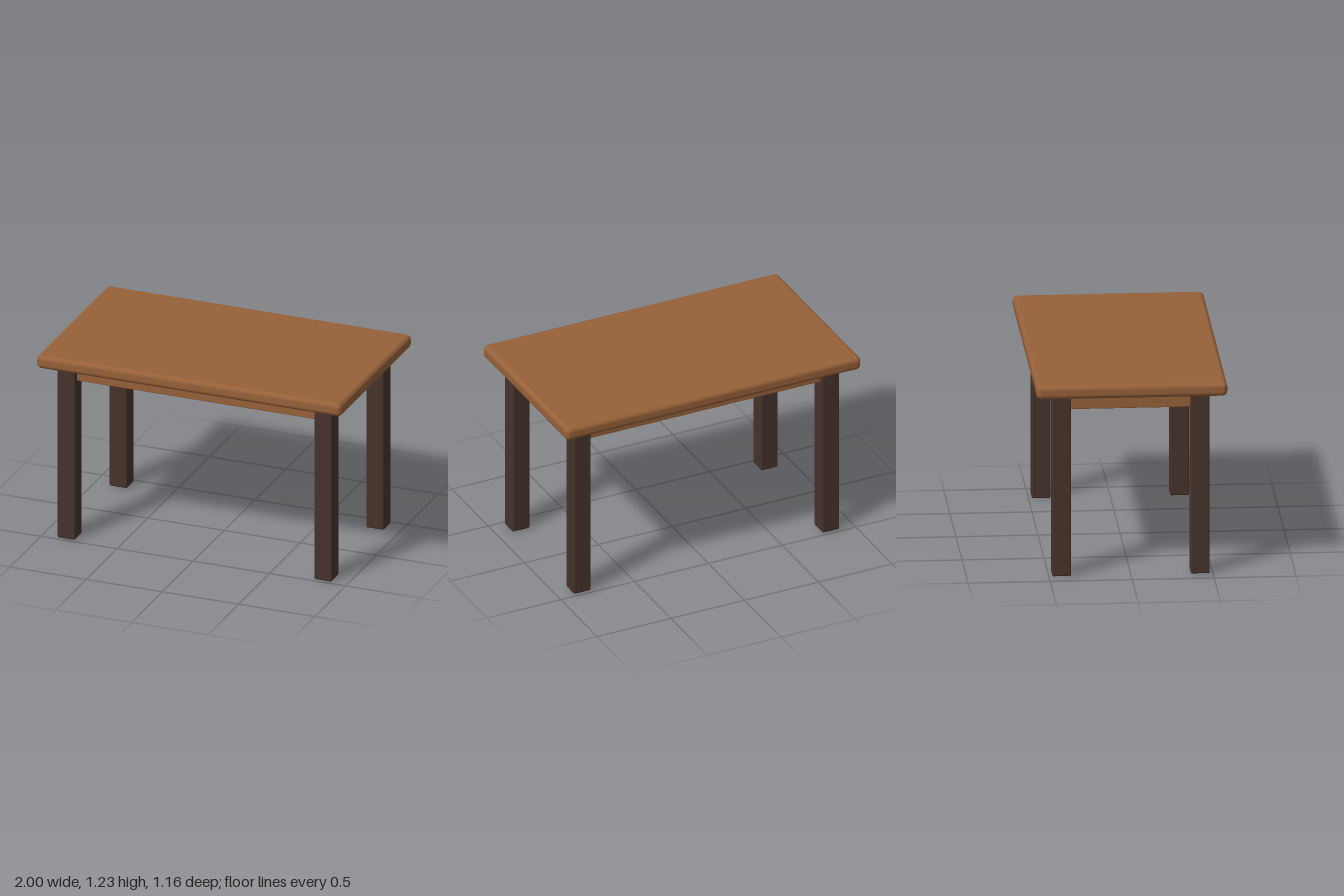
import * as THREE from 'three';
import { RoundedBoxGeometry } from 'three/addons/geometries/RoundedBoxGeometry.js';

export function createModel() {
  const table = new THREE.Group();
  table.name = 'table';

  const wood = new THREE.MeshStandardMaterial({ color: 0x966039 });
  wood.name = 'warm brown wood';
  const darkWood = new THREE.MeshStandardMaterial({ color: 0x46322b });
  darkWood.name = 'dark brown wood';

  // Rounded block given by its size and centre
  function block(name, material, [w, h, d], [x, y, z], radius, segments) {
    const mesh = new THREE.Mesh(new RoundedBoxGeometry(w, h, d, segments, radius), material);
    mesh.name = name;
    mesh.position.set(x, y, z);
    table.add(mesh);
  }

  const underside = 1.147, height = 1.233;
  const legX = 0.842, legZ = 0.422, legWidth = 0.115;
  const apronHeight = 0.097, apronDepth = 0.06;
  const apronY = underside - apronHeight / 2;

  // Table top with soft edges
  block('tableTop', wood, [2, height - underside, 1.164],
    [0, (height + underside) / 2, 0], 0.03, 4);

  // Four square legs
  for (const sx of [-1, 1]) {
    for (const sz of [-1, 1]) {
      const name = (sz > 0 ? 'front' : 'back') + (sx > 0 ? 'Left' : 'Right') + 'Leg';
      block(name, darkWood, [legWidth, underside, legWidth],
        [sx * legX, underside / 2, sz * legZ], 0.009, 3);
    }
  }

  // Aprons centred between the legs
  for (const s of [-1, 1]) {
    block(s > 0 ? 'frontApron' : 'backApron', wood,
      [2 * legX - legWidth, apronHeight, apronDepth], [0, apronY, s * legZ], 0.005, 2);
    block(s > 0 ? 'leftApron' : 'rightApron', wood,
      [apronDepth, apronHeight, 2 * legZ - legWidth], [s * legX, apronY, 0], 0.005, 2);
  }

  return table;
}
